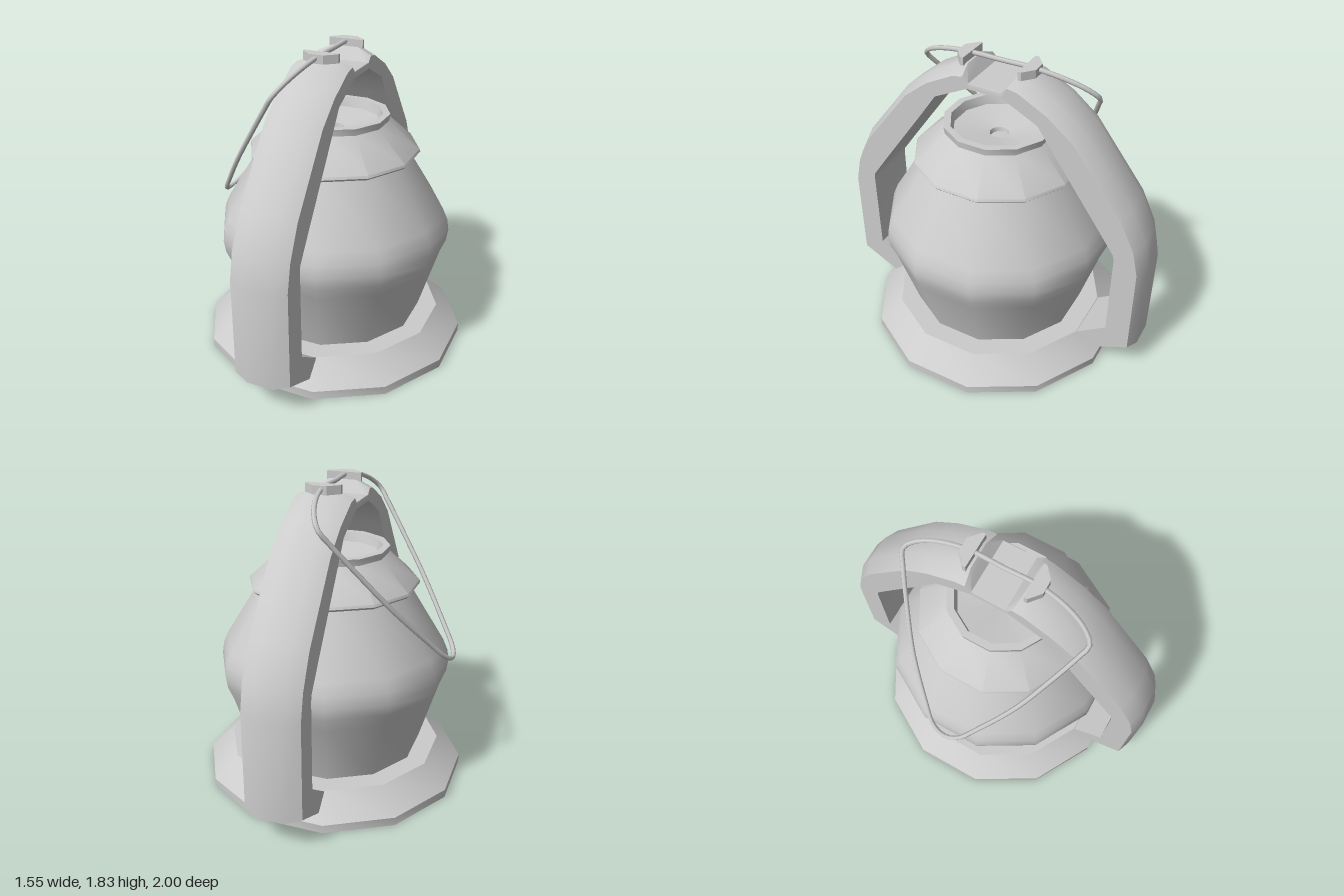
import * as THREE from 'three';
import { toCreasedNormals } from 'three/addons/utils/BufferGeometryUtils.js';

const material = new THREE.MeshStandardMaterial({ color: 0xcccccc, side: THREE.DoubleSide });

function part(name, geometry) {
  const mesh = new THREE.Mesh(geometry, material);
  mesh.name = name;
  return mesh;
}

// Twelve-sided turned part; profile is [half width across flats corner, y], bottom to top
function turned(name, profile) {
  const points = profile.map(([x, y]) => new THREE.Vector2(x / Math.cos(Math.PI / 12), y));
  const geometry = new THREE.LatheGeometry(points, 12, Math.PI / 12);
  return part(name, toCreasedNormals(geometry, 0.6));
}

// Chamfered arch: each station is [outer z, outer y, inner z, inner y, outer half width, chamfer depth]
function archGeometry() {
  const half = [
    [0.73, 0.05, 0.64, 0.18],
    [1.0, 0.19, 0.82, 0.31],
    [1.0, 0.78, 0.82, 0.84],
    [0.96, 0.97, 0.815, 0.88],
    [0.865, 1.16, 0.71, 1.03],
    [0.56, 1.55, 0.41, 1.45],
    [0.4, 1.68, 0.32, 1.58],
    [0.21, 1.78, 0.17, 1.655],
    [0.15, 1.79, 0.11, 1.685],
    [0.1, 1.72, 0.09, 1.685, 0.165, 0.005],
  ];
  const stations = [...half, ...half.slice().reverse().map(([a, b, c, d, ...rest]) => [-a, b, -c, d, ...rest])];
  const w = 0.168;
  const positions = [];
  const index = [];
  stations.forEach(([oz, oy, iz, iy, top = 0.08, depth = 0.04], i) => {
    const t = depth / Math.hypot(oz - iz, oy - iy);
    const sz = oz + (iz - oz) * t;
    const sy = oy + (iy - oy) * t;
    positions.push(-top, oy, oz, top, oy, oz, w, sy, sz, w, iy, iz, -w, iy, iz, -w, sy, sz);
    if (i === 0) return;
    for (let j = 0; j < 6; j++) {
      const a = (i - 1) * 6 + j;
      const b = (i - 1) * 6 + ((j + 1) % 6);
      index.push(a, b, b + 6, a, b + 6, a + 6);
    }
  });
  const geometry = new THREE.BufferGeometry();
  geometry.setAttribute('position', new THREE.Float32BufferAttribute(positions, 3));
  geometry.setIndex(index);
  return toCreasedNormals(geometry, 0.6);
}

// Closed wire bail, tilted down towards -x
function bailGeometry() {
  const run = [[0.0, 0.2], [0.025, 0.38], [0.065, 0.5], [0.105, 0.55], [0.16, 0.525],
    [0.3, 0.44], [0.46, 0.33], [0.63, 0.17], [0.71, 0.08]];
  const at = ([x, z]) => new THREE.Vector3(-x - 0.005, 1.812 - x * 1.345, z);
  const points = [
    at([0, 0]),
    ...run.map(at),
    at([0.73, 0]),
    ...run.slice().reverse().map(([x, z]) => at([x, -z])),
  ];
  const curve = new THREE.CatmullRomCurve3(points, true, 'centripetal');
  return new THREE.TubeGeometry(curve, 96, 0.014, 6, true);
}

// Wedge-shaped bracket that holds the wire
function bracketGeometry() {
  const shape = new THREE.Shape();
  [[-0.105, 0.165], [0.105, 0.165], [0.105, 0.185], [0.04, 0.24], [-0.04, 0.24], [-0.105, 0.185]]
    .forEach(([x, z], i) => (i ? shape.lineTo(x, -z) : shape.moveTo(x, -z)));
  const geometry = new THREE.ExtrudeGeometry(shape, { depth: 0.05, bevelEnabled: false });
  return geometry.rotateX(-Math.PI / 2).translate(0, 1.78, 0);
}

export function createModel() {
  const model = new THREE.Group();
  model.name = 'lantern';

  model.add(turned('base', [[0, 0], [0.777, 0], [0.777, 0.05], [0.635, 0.18], [0, 0.18]]));

  model.add(turned('body', [[0.52, 0.18], [0.635, 0.57], [0.667, 0.65], [0.677, 0.72],
    [0.667, 0.79], [0.638, 0.86], [0.43, 1.21]]));

  // Lid with a rim, short collar and dished top
  model.add(turned('lid', [[0.4, 1.205], [0.475, 1.205], [0.49, 1.22], [0.485, 1.235], [0.31, 1.4],
    [0.315, 1.44], [0.275, 1.44], [0.26, 1.385], [0.055, 1.35], [0.05, 1.325], [0, 1.325]]));

  model.add(part('archFrame', archGeometry()));

  // Wire handle and its two brackets
  model.add(part('wireHandle', bailGeometry()));
  for (const [name, turn] of [['frontBracket', 0], ['backBracket', Math.PI]]) {
    const bracket = part(name, bracketGeometry());
    bracket.rotation.y = turn;
    model.add(bracket);
  }
  return model;
}
